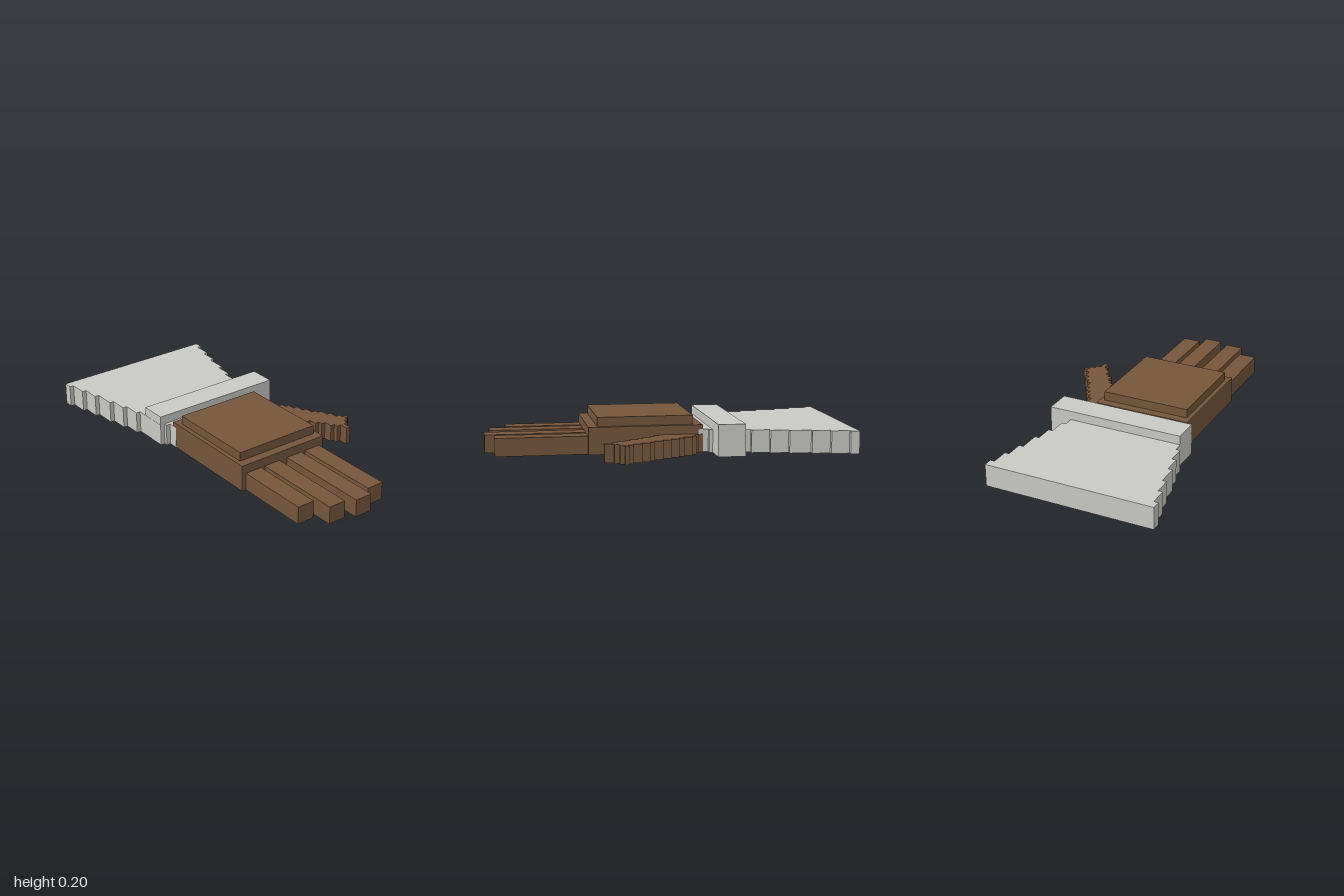
import * as THREE from 'three';

const glove = new THREE.MeshStandardMaterial({ color: 0x75563a });
glove.name = 'brown leather';
const cloth = new THREE.MeshStandardMaterial({ color: 0xc9c9c5 });
cloth.name = 'pale grey cloth';

// Box given by its limits on each axis
function block(name, material, x0, x1, y0, y1, z0, z1) {
  const mesh = new THREE.Mesh(new THREE.BoxGeometry(x1 - x0, y1 - y0, z1 - z0), material);
  mesh.position.set((x0 + x1) / 2, (y0 + y1) / 2, (z0 + z1) / 2);
  mesh.name = name;
  return mesh;
}

// Flat slab standing on y = 0 from an outline of [x, z] points
function slab(name, material, outline, height) {
  const shape = new THREE.Shape(outline.map(([x, z]) => new THREE.Vector2(x, z)));
  const geometry = new THREE.ExtrudeGeometry(shape, { depth: height, bevelEnabled: false });
  geometry.rotateX(Math.PI / 2).translate(0, height, 0);
  const mesh = new THREE.Mesh(geometry, material);
  mesh.name = name;
  return mesh;
}

export function createModel() {
  const group = new THREE.Group();
  group.name = 'gloved hand';

  // Flared sleeve: each step is 0.025 narrower on both sides
  const edges = [-1, -0.95, -0.85, -0.75, -0.63, -0.53, -0.43, -0.225, -0.205, -0.15];
  const left = [], right = [];
  for (let i = 0; i < edges.length - 1; i++) {
    const half = 0.476 - i * 0.025;
    for (const z of [edges[i], edges[i + 1]]) {
      left.push([-0.065 - half, z]);
      right.push([-0.065 + half, z]);
    }
  }
  group.add(slab('sleeve', cloth, [...right, ...left.reverse()], 0.125));
  group.add(block('cuffBand', cloth, -0.39, 0.385, 0, 0.175, -0.375, -0.225));

  // Palm and raised back of the hand
  group.add(block('palm', glove, -0.34, 0.21, 0, 0.15, -0.175, 0.45));
  group.add(block('handBack', glove, -0.315, 0.185, 0.15, 0.2, -0.125, 0.4));

  // Fingers: left edge and tip
  [[-0.315, 0.875], [-0.19, 0.97], [-0.04, 1], [0.085, 0.95]].forEach(([x, tip], i) => {
    group.add(block('finger' + (i + 1), glove, x, x + 0.1, 0, 0.1, 0.45, tip));
  });

  // Stepped thumb: back and front z of each 0.025 wide column
  const columns = [
    [-0.15, 0.07], [-0.125, 0.1], [-0.125, 0.125], [-0.1, 0.17], [-0.05, 0.2],
    [-0.02, 0.245], [0.025, 0.27], [0.075, 0.32], [0.125, 0.345], [0.15, 0.395],
    [0.2, 0.345], [0.25, 0.32], [0.275, 0.295],
  ];
  const back = [[0.19, -0.175], [0.212, -0.175]], front = [[0.19, 0.07]];
  columns.forEach(([z0, z1], i) => {
    const x0 = i ? 0.21 + i * 0.025 : 0.212, x1 = 0.235 + i * 0.025;
    back.push([x0, z0], [x1, z0]);
    front.push([x0, z1], [x1, z1]);
  });
  group.add(slab('thumb', glove, [...back, ...front.reverse()], 0.1));

  return group;
}
